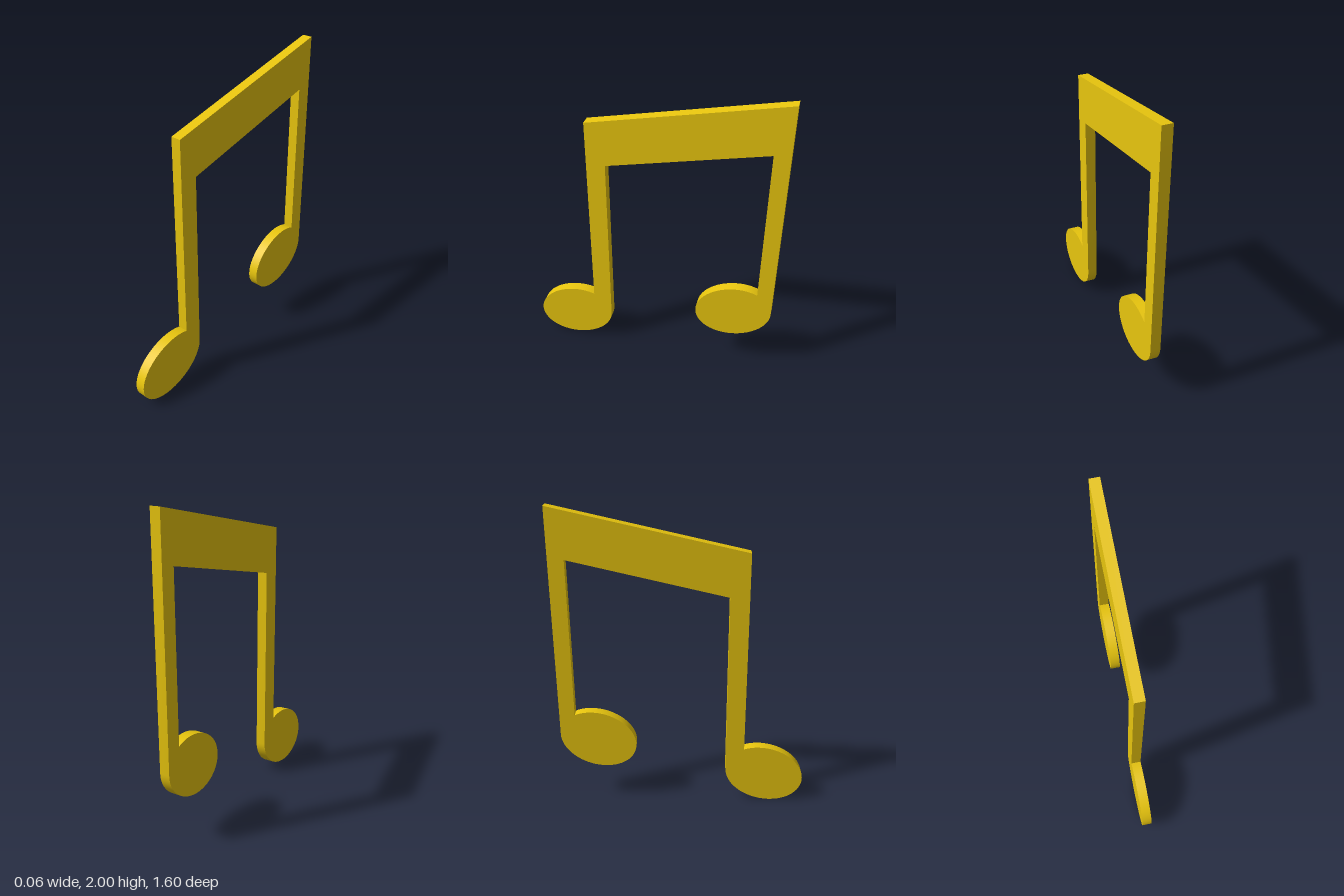
import * as THREE from 'three';
import { toCreasedNormals } from 'three/addons/utils/BufferGeometryUtils.js';

const THICKNESS = 0.064;

// Tilted oval note head, tangent to its stem's outer edge; traced clockwise
// from the stem's right edge round to where it meets the stem's left edge.
function headPoints(stemLeft, stemRight, cy, a, b, tilt, steps = 56) {
  const c = Math.cos(tilt), s = Math.sin(tilt);
  const halfWidth = Math.hypot(a * c, b * s);
  const cx = stemRight - halfWidth;
  const start = Math.atan2(-b * s, a * c);
  const end = start - 2 * Math.PI + Math.acos((stemLeft - cx) / halfWidth);
  const points = [];
  for (let i = 0; i <= steps; i++) {
    const t = start + (end - start) * i / steps;
    const u = a * Math.cos(t), v = b * Math.sin(t);
    points.push(new THREE.Vector2(cx + u * c - v * s, cy + u * s + v * c));
  }
  return points;
}

export function createModel() {
  const group = new THREE.Group();
  group.name = 'musicNote';

  // One continuous outline: beam, both stems and both heads
  const p = (x, y) => new THREE.Vector2(x, y);
  const outline = [
    p(-0.405, 1.725), p(0.8, 2),
    ...headPoints(0.7, 0.8, 0.46, 0.254, 0.1916, 0.35),
    p(0.7, 1.68), p(-0.285, 1.45),
    ...headPoints(-0.405, -0.285, 0.2025, 0.2635, 0.195, 0.325),
  ];

  let geometry = new THREE.ExtrudeGeometry(new THREE.Shape(outline), {
    depth: THICKNESS, bevelEnabled: false,
  });
  geometry.translate(0, 0, -THICKNESS / 2);
  geometry.rotateY(Math.PI / 2); // outline lies in the side plane
  geometry = toCreasedNormals(geometry, 0.6);

  const note = new THREE.Mesh(geometry, new THREE.MeshStandardMaterial({ color: 0xe8c50e }));
  note.name = 'beamedNotes';
  group.add(note);
  return group;
}
